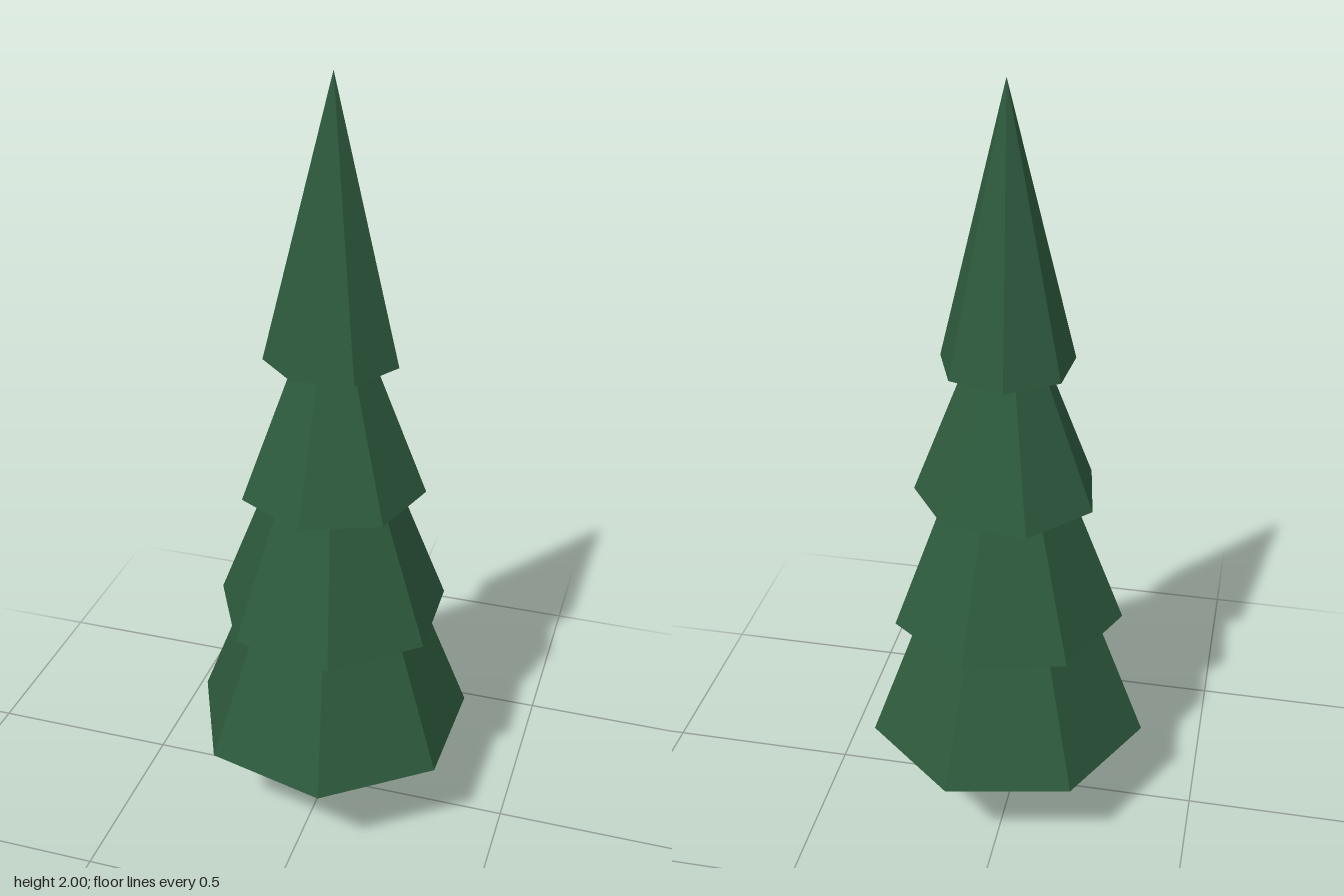
import * as THREE from 'three';

const SIDES = 7;

export function createModel() {
  const tree = new THREE.Group();
  tree.name = 'pineTree';

  const foliage = new THREE.MeshStandardMaterial({ color: 0x2d5a3d, flatShading: true });
  foliage.name = 'foliage green';
  const bark = new THREE.MeshStandardMaterial({ color: 0x4a3228, flatShading: true });
  bark.name = 'bark brown';

  // Seven-sided tapered solid standing on height y, turned by an angle in degrees
  function addTaper(name, material, bottom, top, y, height, turn) {
    const mesh = new THREE.Mesh(new THREE.CylinderGeometry(top, bottom, height, SIDES), material);
    mesh.name = name;
    mesh.position.set(0.015, y + height / 2, -0.004);
    mesh.rotation.y = THREE.MathUtils.degToRad(turn);
    tree.add(mesh);
  }

  // Trunk, running a little way into the lowest tier
  addTaper('trunk', bark, 0.032, 0.025, 0, 0.3, 0);

  // Foliage tiers, each closing to a point inside the one above
  const tiers = [
    ['bottomTier', 0.371, 0.25, 0.96, -91.7],
    ['lowerTier', 0.304, 0.6, 0.78, -88.3],
    ['upperTier', 0.237, 0.955, 0.61, -3.6],
    ['topTier', 0.17, 1.31, 0.69, 85.25],
  ];
  for (const [name, radius, y, height, turn] of tiers) {
    addTaper(name, foliage, radius, 0, y, height, turn);
  }

  return tree;
}
